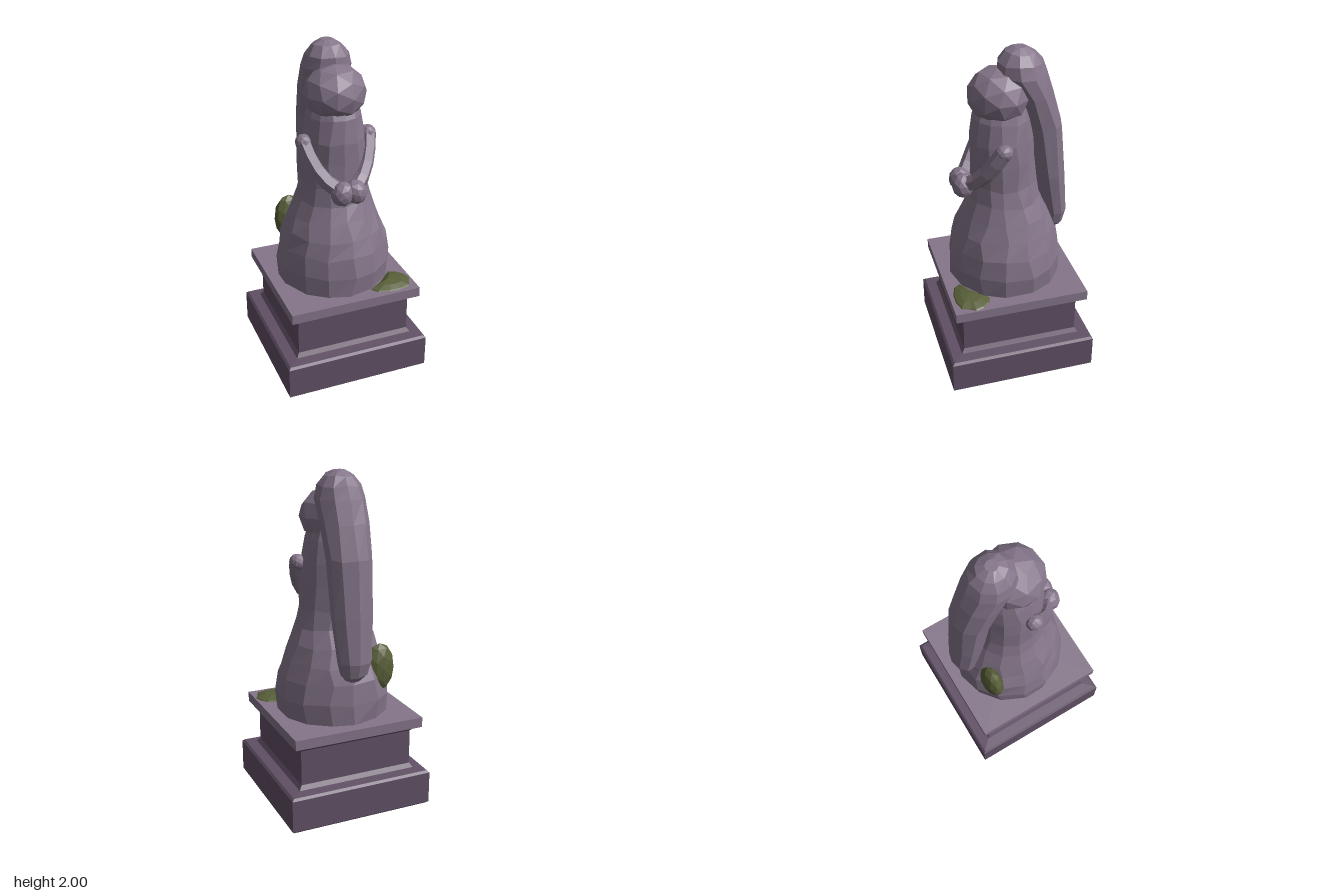
import * as THREE from 'three';

const material = (name, color) => {
  const m = new THREE.MeshStandardMaterial({ color });
  m.name = name;
  return m;
};

// Faceted copy of a geometry: every face gets its own normal
function facet(geometry) {
  const g = geometry.index ? geometry.toNonIndexed() : geometry;
  g.computeVertexNormals();
  return g;
}

// Closed loft through horizontal rings, rows from bottom to top: [y, centreZ, radiusX, radiusZ]
function loft(rows, sides, { turn = 0, rough = 0 } = {}) {
  let seed = 7;
  const rand = () => (seed = (seed * 16807) % 2147483647) / 2147483647 - 0.5;
  const pos = [], index = [];
  rows.forEach(([y, cz, rx, rz], i) => {
    for (let j = 0; j < sides; j++) {
      const inner = i > 0 && i < rows.length - 1;
      const a = turn + ((j + rough * 8 * rand()) / sides) * Math.PI * 2;
      const k = 1 + rough * rand();
      pos.push(Math.sin(a) * rx * k, y + (inner ? rough * 0.6 * rand() : 0), cz + Math.cos(a) * rz * k);
    }
  });
  const top = rows.length - 1, lowPole = rows.length * sides;
  pos.push(0, rows[0][0], rows[0][1], 0, rows[top][0], rows[top][1]);
  for (let j = 0; j < sides; j++) {
    const n = (j + 1) % sides;
    for (let i = 0; i < top; i++) {
      const a = i * sides + j, b = i * sides + n;
      index.push(a, b, b + sides, a, b + sides, a + sides);
    }
    index.push(lowPole, n, j, lowPole + 1, top * sides + j, top * sides + n);
  }
  const g = new THREE.BufferGeometry();
  g.setAttribute('position', new THREE.Float32BufferAttribute(pos, 3));
  g.setIndex(index);
  return facet(g);
}

// Square block with a moulded profile: [y, halfWidth]
const squareLoft = (profile) =>
  loft(profile.map(([y, h]) => [y, 0, h * Math.SQRT2, h * Math.SQRT2]), 4, { turn: Math.PI / 4 });

// Low-poly ellipsoid
const pebble = (rx, ry, rz, detail = 1) => facet(new THREE.IcosahedronGeometry(1, detail).scale(rx, ry, rz));

export function createModel() {
  const model = new THREE.Group();
  model.name = 'statue';
  const stone = material('paleStone', 0x85768a);
  const darkStone = material('darkStone', 0x615166);
  const moss = material('moss', 0x596039);

  const add = (name, geometry, mat, x = 0, y = 0, z = 0) => {
    const mesh = new THREE.Mesh(geometry, mat);
    mesh.name = name;
    mesh.position.set(x, y, z);
    model.add(mesh);
    return mesh;
  };

  // Pedestal: plinth and neck in one moulding, with the slab on top
  add('pedestal', squareLoft([
    [0, 0.432], [0.012, 0.445], [0.207, 0.445], [0.22, 0.432], [0.225, 0.37],
    [0.25, 0.352], [0.465, 0.352], [0.48, 0.365], [0.492, 0.385],
  ]), darkStone);
  add('slab', squareLoft([[0.488, 0.385], [0.5, 0.405], [0.56, 0.405]]), stone);

  // Robe and torso
  add('body', loft([
    [0.55, 0, 0.335, 0.338], [0.68, 0, 0.347, 0.343], [0.8, 0, 0.328, 0.328],
    [0.9, 0, 0.292, 0.302], [1.0, 0, 0.258, 0.258], [1.1, 0, 0.22, 0.215],
    [1.2, 0.005, 0.198, 0.196], [1.35, 0.015, 0.192, 0.188], [1.47, 0.018, 0.182, 0.187],
    [1.6, 0.012, 0.158, 0.172], [1.72, 0, 0.12, 0.13],
  ], 14, { rough: 0.035 }), stone);

  // Head
  add('head', pebble(0.183, 0.163, 0.18), stone, 0, 1.73, 0.033).rotation.y = 0.3;

  // Long tail of hair: crown at the top, hanging down the back
  add('hair', loft([
    [0.82, -0.29, 0.045, 0.035], [0.86, -0.305, 0.082, 0.062], [0.94, -0.31, 0.102, 0.077],
    [1.2, -0.272, 0.125, 0.097], [1.53, -0.23, 0.134, 0.112], [1.72, -0.165, 0.143, 0.122],
    [1.85, -0.1, 0.144, 0.147], [1.92, -0.09, 0.126, 0.128], [1.975, -0.09, 0.085, 0.085],
    [2.0, -0.09, 0.035, 0.035],
  ], 10, { rough: 0.02 }), stone);

  // Folded arms and clasped hands
  for (const side of [1, -1]) {
    const path = new THREE.CatmullRomCurve3([
      [0.2, 1.47, 0.055], [0.172, 1.37, 0.115], [0.12, 1.275, 0.175], [0.045, 1.21, 0.235],
    ].map(([x, y, z]) => new THREE.Vector3(side * x, y, z)));
    const label = side > 0 ? 'left' : 'right';
    add(label + 'Arm', facet(new THREE.TubeGeometry(path, 4, 0.048, 6)), stone);
    add(label + 'Shoulder', pebble(0.048, 0.048, 0.052), stone, side * 0.197, 1.465, 0.055);
    add(label + 'Hand', pebble(0.066, 0.075, 0.065), stone, side * 0.04, 1.205, 0.258).rotation.z = side * 0.3;
  }

  // Moss clump on the back of the robe
  add('backMoss', pebble(0.095, 0.15, 0.058), moss, -0.202, 0.85, -0.23).rotation.y = 0.1;

  // Low moss patch on a front corner of the slab
  const outline = [
    [0.12, 0.32], [0.15, 0.36], [0.22, 0.38], [0.29, 0.382], [0.36, 0.362], [0.38, 0.31],
    [0.4, 0.28], [0.385, 0.23], [0.35, 0.19], [0.3, 0.172], [0.26, 0.21], [0.2, 0.27],
  ];
  const ring = (s, y) => outline.map(([x, z]) => [0.27 + (x - 0.27) * s, y, 0.29 + (z - 0.29) * s]);
  const patch = new THREE.BufferGeometry();
  const n = outline.length, faces = [];
  patch.setAttribute('position', new THREE.Float32BufferAttribute(
    [...ring(1, 0.558), ...ring(0.92, 0.567), ...ring(0.55, 0.582), [0.25, 0.59, 0.28]].flat(), 3));
  for (let j = 0; j < n; j++) {
    const k = (j + 1) % n;
    for (const r of [0, n]) faces.push(r + j, r + k, r + n + k, r + j, r + n + k, r + n + j);
    faces.push(2 * n + j, 2 * n + k, 3 * n);
  }
  patch.setIndex(faces);
  add('slabMoss', facet(patch), moss);

  return model;
}
